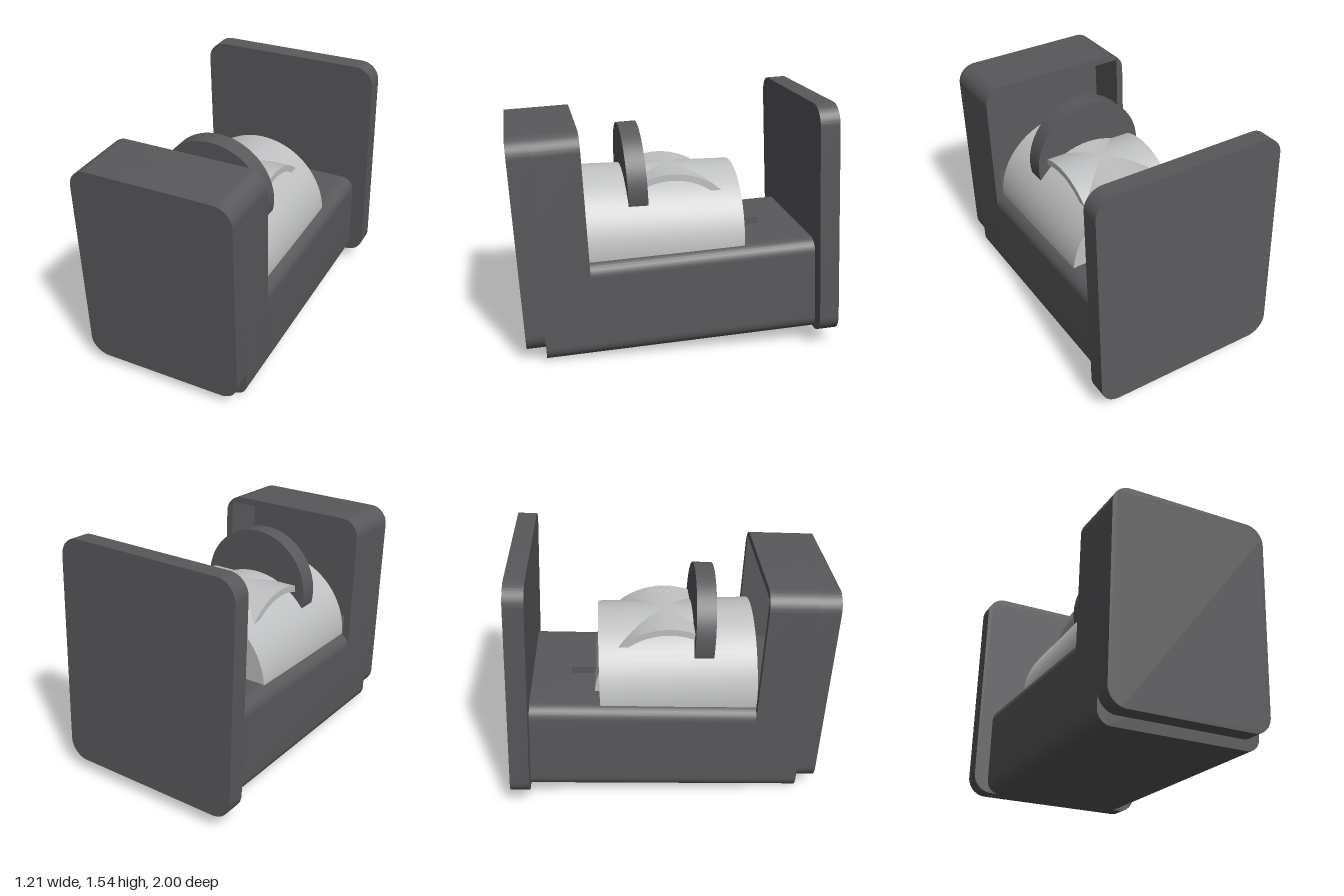
import * as THREE from 'three';
import { toCreasedNormals } from 'three/addons/utils/BufferGeometryUtils.js';

const TILT = 0.0524;

function roundedRect(halfWidth, bottom, top, r) {
  const s = new THREE.Shape();
  s.moveTo(halfWidth, bottom + r);
  s.absarc(halfWidth - r, top - r, r, 0, Math.PI / 2);
  s.absarc(-halfWidth + r, top - r, r, Math.PI / 2, Math.PI);
  s.absarc(-halfWidth + r, bottom + r, r, Math.PI, Math.PI * 1.5);
  s.absarc(halfWidth - r, bottom + r, r, Math.PI * 1.5, Math.PI * 2);
  return s;
}

// Extrude a shape from z0 to z1 with smooth curves and sharp rims
function slab(shape, z0, z1, segments = 12) {
  const g = new THREE.ExtrudeGeometry(shape, { depth: z1 - z0, bevelEnabled: false, curveSegments: segments });
  g.translate(0, 0, z0);
  return toCreasedNormals(g, 0.5);
}

export function createModel() {
  const dark = new THREE.MeshStandardMaterial({ color: 0x59585b });
  dark.name = 'darkGrey';
  const light = new THREE.MeshStandardMaterial({ color: 0xc0c1c2 });
  light.name = 'lightGrey';

  const model = new THREE.Group();
  model.name = 'model';
  const add = (parent, name, geometry, material) => {
    const mesh = new THREE.Mesh(geometry, material);
    mesh.name = name;
    parent.add(mesh);
    return mesh;
  };

  // Housing, leaning forward about its lower front edge
  const housing = new THREE.Group();
  housing.name = 'housing';
  housing.position.z = 0.81;
  housing.rotation.x = TILT;
  model.add(housing);

  add(housing, 'base', slab(roundedRect(0.51, 0, 0.6, 0.085), -1.7, 0), dark);
  add(housing, 'backPlate', slab(roundedRect(0.605, 0, 1.447, 0.12), -1.812, -1.692), dark);

  // Front cover: solid face plus a hollow rim open to the back
  add(housing, 'frontCover', slab(roundedRect(0.51, 0.066, 1.393, 0.115), -0.02, 0.117), dark);
  const rim = roundedRect(0.51, 0.066, 1.393, 0.115);
  rim.holes.push(new THREE.Path([
    new THREE.Vector2(-0.465, 0.12), new THREE.Vector2(-0.465, 1.348),
    new THREE.Vector2(0.465, 1.348), new THREE.Vector2(0.465, 0.12),
  ]));
  add(housing, 'coverRim', slab(rim, -0.303, -0.02), dark);

  // Small block on the base behind the drum
  add(housing, 'rearBlock', new THREE.BoxGeometry(0.18, 0.1, 0.2), dark).position.set(0, 0.595, -1.346);

  // Level drum lying front to back
  const drum = add(model, 'drum', new THREE.CylinderGeometry(0.455, 0.455, 0.965, 64), light);
  drum.rotation.x = Math.PI / 2;
  drum.position.set(0, 0.635, 0.0625);

  // Ring of the same radius crossing the drum from side to side
  const ring = new THREE.Shape().absarc(0, 0, 0.455, 0, Math.PI * 2);
  ring.holes.push(new THREE.Path().absarc(0, 0, 0.415, 0, Math.PI * 2, true));
  const cross = add(model, 'crossRing', slab(ring, -0.3, 0.3, 32), light);
  cross.rotation.y = Math.PI / 2;
  cross.position.y = 0.635;

  // Tilted disc sunk into the drum
  const disc = add(model, 'disc', new THREE.CylinderGeometry(0.365, 0.365, 0.12, 64), dark);
  disc.rotation.x = Math.PI / 2 + TILT;
  disc.position.set(0, 0.993, 0.226);

  return model;
}
